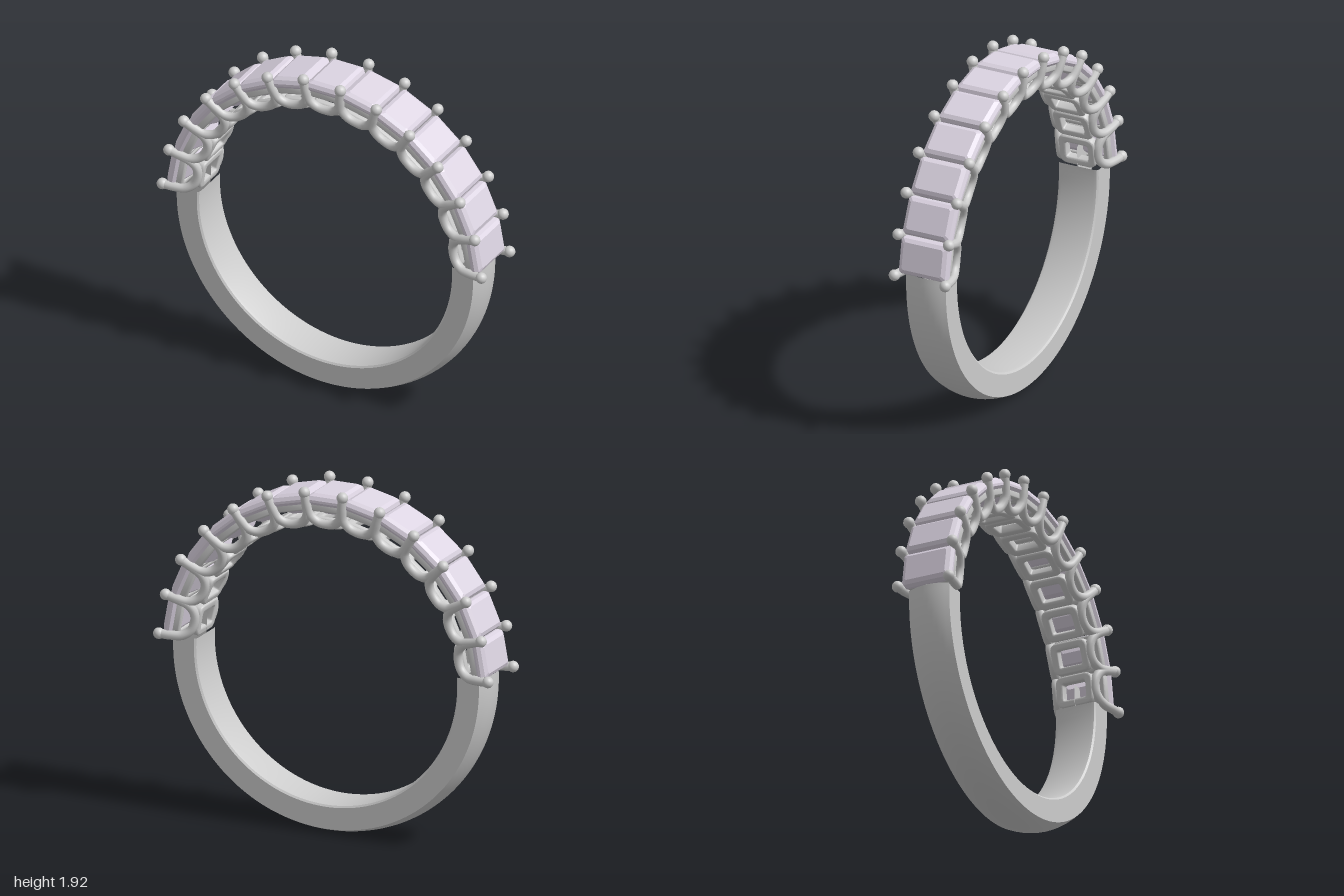
import * as THREE from 'three';
import { toCreasedNormals } from 'three/addons/utils/BufferGeometryUtils.js';

const CENTER_Y = 0.93;
const STONES = 13;
const PITCH = THREE.MathUtils.degToRad(13.3);
const END = PITCH * STONES / 2; // angle from the top where the setting ends

const metal = new THREE.MeshStandardMaterial({ color: 0xcccccc });
const gem = new THREE.MeshStandardMaterial({ color: 0xdcd4e2 });

function mesh(name, geometry, material = metal) {
  const m = new THREE.Mesh(geometry, material);
  m.name = name;
  return m;
}

// Rounded rectangle path, half sizes a and b
function roundRect(path, a, b, r) {
  path.moveTo(-a + r, -b);
  path.lineTo(a - r, -b);
  path.quadraticCurveTo(a, -b, a, -b + r);
  path.lineTo(a, b - r);
  path.quadraticCurveTo(a, b, a - r, b);
  path.lineTo(-a + r, b);
  path.quadraticCurveTo(-a, b, -a, b - r);
  path.lineTo(-a, -b + r);
  path.quadraticCurveTo(-a, -b, -a + r, -b);
  return path;
}

// Rectangular frame with an opening, lying flat between heights y0 and y1
function frameGeometry(a, b, wall, r, y0, y1) {
  const bevel = 0.01;
  const shape = roundRect(new THREE.Shape(), a - bevel, b - bevel, r);
  shape.holes.push(roundRect(new THREE.Path(), a - wall + bevel, b - wall + bevel, r * 0.7));
  const g = new THREE.ExtrudeGeometry(shape, {
    depth: y1 - y0 - 2 * bevel, bevelSize: bevel, bevelThickness: bevel, bevelSegments: 3, curveSegments: 5,
  });
  g.rotateX(-Math.PI / 2).translate(0, y0 + bevel, 0);
  return toCreasedNormals(g, 0.7);
}

// Step-cut stone lofted through clipped rectangles: [height, halfX, halfZ]
function stoneGeometry() {
  const levels = [
    [0.835, 0.03, 0.07], [0.875, 0.075, 0.118], [0.912, 0.105, 0.149],
    [0.925, 0.105, 0.149], [0.945, 0.096, 0.139], [0.958, 0.076, 0.118],
  ];
  const pos = [], index = [];
  for (const [y, a, b] of levels) {
    const c = a * 0.12;
    for (const [x, z] of [[a, b - c], [a, c - b], [a - c, -b], [c - a, -b],
      [-a, c - b], [-a, b - c], [c - a, b], [a - c, b]]) pos.push(x, y, z);
  }
  for (let k = 0; k < levels.length - 1; k++) {
    for (let i = 0; i < 8; i++) {
      const p = k * 8 + i, q = k * 8 + (i + 1) % 8;
      index.push(p, q, q + 8, p, q + 8, p + 8);
    }
  }
  const top = (levels.length - 1) * 8;
  for (let i = 1; i < 7; i++) index.push(0, i + 1, i, top, top + i, top + i + 1);
  const g = new THREE.BufferGeometry();
  g.setAttribute('position', new THREE.Float32BufferAttribute(pos, 3));
  g.setIndex(index);
  return toCreasedNormals(g, 0.1);
}

// U-shaped wire hanging between two neighbouring prong tips
function prongGeometry(side) {
  const tipX = 0.97 * Math.sin(PITCH / 2), tipY = 0.97 * Math.cos(PITCH / 2);
  const half = [[tipX, tipY, 0.153], [0.104, 0.9, 0.146], [0.088, 0.835, 0.132], [0.05, 0.799, 0.118]];
  const pts = [
    ...half.map(([x, y, z]) => new THREE.Vector3(-x, y, z * side)),
    new THREE.Vector3(0, 0.789, 0.113 * side),
    ...half.slice().reverse().map(([x, y, z]) => new THREE.Vector3(x, y, z * side)),
  ];
  return new THREE.TubeGeometry(new THREE.CatmullRomCurve3(pts), 36, 0.025, 10);
}

// Lower shank: domed outside, eased inner edges, cut off below the setting
function createShank() {
  const group = new THREE.Group();
  group.name = 'shank';
  const profile = [];
  for (let i = 0; i <= 10; i++) {
    const t = i / 5 - 1;
    profile.push(new THREE.Vector2(0.93 - 0.03 * t * t, 0.12 * t));
  }
  for (const [r, z] of [[0.778, 0.12], [0.768, 0.112], [0.765, 0.095], [0.765, -0.095],
    [0.768, -0.112], [0.778, -0.12]]) profile.push(new THREE.Vector2(r, z));
  const a = Math.PI - END;
  const band = new THREE.LatheGeometry([...profile, profile[0].clone()], 96, -a, 2 * a);
  band.rotateX(Math.PI / 2);
  group.add(mesh('band', toCreasedNormals(band, 0.5)));
  const capMaterial = new THREE.MeshStandardMaterial({ color: 0xcccccc, side: THREE.DoubleSide });
  for (const s of [1, -1]) {
    const cap = mesh('bandEnd', new THREE.ShapeGeometry(new THREE.Shape(profile)), capMaterial);
    cap.rotation.z = Math.PI / 2 - s * END;
    group.add(cap);
  }
  return group;
}

export function createModel() {
  const ring = new THREE.Group();
  ring.name = 'ring';
  const body = new THREE.Group();
  body.name = 'ringBody';
  body.position.y = CENTER_Y;
  ring.add(body);
  body.add(createShank());

  // Thirteen identical settings fanned over the top
  const stone = stoneGeometry();
  const upper = frameGeometry(0.1, 0.136, 0.032, 0.02, 0.86, 0.912);
  const lower = frameGeometry(0.087, 0.108, 0.042, 0.035, 0.765, 0.818);
  const prongs = [prongGeometry(1), prongGeometry(-1)];
  for (let i = 0; i < STONES; i++) {
    const setting = new THREE.Group();
    setting.name = 'setting';
    setting.rotation.z = -(i - (STONES - 1) / 2) * PITCH;
    setting.add(mesh('stone', stone, gem), mesh('upperFrame', upper), mesh('lowerFrame', lower));
    for (const p of prongs) setting.add(mesh('prongWire', p));
    body.add(setting);
  }

  // Ball tips shared by neighbouring prongs
  const tip = new THREE.SphereGeometry(0.031, 16, 12);
  for (let i = 0; i <= STONES; i++) {
    const t = -END + i * PITCH;
    for (const s of [1, -1]) {
      const ball = mesh('prongTip', tip);
      ball.position.set(0.97 * Math.sin(t), 0.97 * Math.cos(t), 0.153 * s);
      body.add(ball);
    }
  }
  return ring;
}
